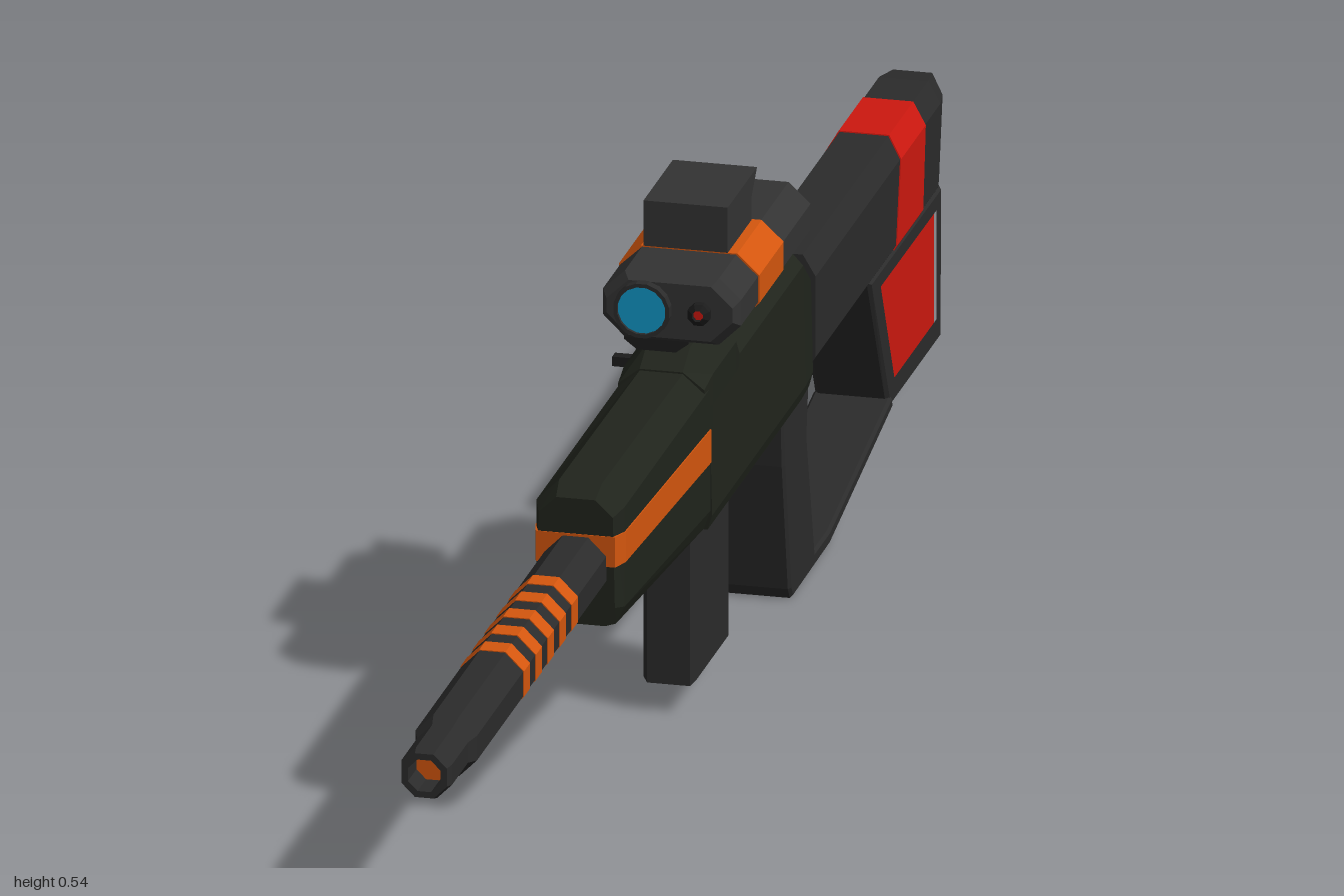
import * as THREE from 'three';

const mat = (color) => new THREE.MeshStandardMaterial({ color, flatShading: true, roughness: 0.8 });
const DARK = mat(0x2b2b2b), BLACK = mat(0x1c1c1c), GREEN = mat(0x20241c), SCOPE = mat(0x333333);
const ORANGE = mat(0xd4560e), RED = mat(0xcc180f), BLUE = mat(0x1297c8);

// Ring of points, mirrored from the +x half (listed top to bottom), placed at z
const ring = (half, z, skew = 0) => [
  ...[...half].reverse(),
  ...half.map(([x, y]) => [-x, y]),
].map(([x, y]) => new THREE.Vector3(x, y, z + skew * y));

// Closed solid through rings ordered from front to back
function loft(...rings) {
  const pos = [];
  const tri = (...v) => v.forEach((p) => pos.push(p.x, p.y, p.z));
  const mid = (r) => r.reduce((s, p) => s.add(p), new THREE.Vector3()).divideScalar(r.length);
  const first = rings[0], last = rings[rings.length - 1], n = first.length;
  const cf = mid(first), cb = mid(last);
  for (let i = 0; i < n; i++) {
    const j = (i + 1) % n;
    for (let k = 0; k < rings.length - 1; k++) {
      const a = rings[k], b = rings[k + 1];
      tri(a[i], b[i], a[j]);
      tri(b[i], b[j], a[j]);
    }
    tri(cf, first[i], first[j]);
    tri(cb, last[j], last[i]);
  }
  const g = new THREE.BufferGeometry();
  g.setAttribute('position', new THREE.Float32BufferAttribute(pos, 3));
  g.computeVertexNormals();
  return g;
}

// Side profile of [z, y] points, extruded across x with a chamfer
function slab(points, halfWidth, bevel = 0, hole = null) {
  const toV = (l) => l.map(([z, y]) => new THREE.Vector2(z, y));
  const shape = new THREE.Shape(toV(points));
  if (hole) shape.holes.push(new THREE.Path(toV(hole)));
  const depth = 2 * (halfWidth - bevel);
  const g = new THREE.ExtrudeGeometry(shape, {
    depth, bevelEnabled: bevel > 0, bevelSize: bevel, bevelThickness: bevel,
    bevelOffset: -bevel, bevelSegments: 1,
  });
  return g.translate(0, 0, -depth / 2).rotateY(-Math.PI / 2);
}

// Turned part along z from [radius, z] points running back to front
const turned = (points, sides) => new THREE.LatheGeometry(
  points.map(([r, z]) => new THREE.Vector2(r, z)), sides, Math.PI / sides).rotateX(Math.PI / 2);

export function createModel() {
  const model = new THREE.Group();
  const add = (name, geometry, material, x = 0, y = 0, z = 0) => {
    const m = new THREE.Mesh(geometry, material);
    m.name = name;
    m.position.set(x, y, z);
    model.add(m);
    return m;
  };
  const box = (name, w, h, d, material, x, y, z) =>
    add(name, new THREE.BoxGeometry(w, h, d), material, x, y, z);

  // Barrel with muzzle and stripes
  const barrelY = 0.291;
  add('barrel', turned([[0.034, 0.3], [0.034, 0.91], [0.028, 0.925], [0.028, 0.99], [0.025, 1],
    [0.018, 1], [0.018, 0.96]], 8), DARK, 0, barrelY);
  add('muzzleBore', new THREE.CircleGeometry(0.018, 8, Math.PI / 8), ORANGE, 0, barrelY, 0.965);
  for (let i = 0; i < 5; i++) {
    const z = 0.5 + i * 0.049;
    add('barrelStripe', turned([[0.03, z], [0.035, z], [0.035, z + 0.025], [0.03, z + 0.025]], 8),
      ORANGE, 0, barrelY);
  }

  // Handguard and its tapering side stripes
  add('handguard', loft(
    ring([[0.02, 0.362], [0.038, 0.345], [0.04, 0.25], [0.03, 0.23]], 0.38),
    ring([[0.022, 0.373], [0.045, 0.35], [0.045, 0.245], [0.036, 0.226]], 0.36),
    ring([[0.022, 0.37], [0.045, 0.35], [0.045, 0.22], [0.038, 0.2]], 0),
  ), GREEN);
  add('handguardStripe', loft(
    ring([[0.0405, 0.325], [0.0405, 0.293]], 0.381),
    ring([[0.0462, 0.324], [0.0462, 0.292]], 0.36),
    ring([[0.0462, 0.307], [0.0462, 0.272]], 0.01),
  ), ORANGE);

  // Receiver
  const body = [[0.022, 0.366], [0.044, 0.342], [0.0465, 0.215], [0.042, 0.2]];
  add('receiver', loft(
    ring(body, 0.008),
    ring(body, -0.375),
    ring([[0.022, 0.325], [0.042, 0.312], [0.044, 0.215], [0.04, 0.2]], -0.415),
  ), GREEN);
  add('receiverRise', loft(
    ring([[0.022, 0.372], [0.044, 0.355], [0.044, 0.33]], 0.03),
    ring([[0.022, 0.388], [0.0455, 0.362], [0.0455, 0.33]], 0),
    ring([[0.022, 0.388], [0.0455, 0.362], [0.0455, 0.33]], -0.095),
    ring([[0.022, 0.366], [0.044, 0.342], [0.044, 0.33]], -0.115),
  ), GREEN);
  box('boltSlot', 0.004, 0.026, 0.2, BLACK, -0.0455, 0.312, -0.18);
  box('boltHandle', 0.05, 0.01, 0.012, BLACK, -0.066, 0.315, -0.14);

  // Magazine, trigger and guard
  add('magazine', slab([[0, 0.21], [0, 0.03], [-0.142, 0.03], [-0.142, 0.21]], 0.027, 0.005), DARK);
  add('triggerGuard', slab([[-0.153, 0.21], [-0.153, 0.154], [-0.31, 0.154], [-0.32, 0.21]], 0.012, 0,
    [[-0.158, 0.205], [-0.158, 0.159], [-0.306, 0.159], [-0.315, 0.205]]), BLACK);
  add('trigger', slab([[-0.265, 0.21], [-0.27, 0.185], [-0.262, 0.16], [-0.298, 0.16], [-0.303, 0.21]],
    0.008), RED);

  // Grip running into the lower strap
  add('grip', slab([[-0.31, 0.205], [-0.315, 0.15], [-0.34, 0.012], [-0.348, 0], [-0.5, 0.002], [-0.76, 0.055],
    [-0.757, 0.068], [-0.5, 0.017], [-0.44, 0.017], [-0.407, 0.15], [-0.415, 0.205]], 0.04, 0.003), DARK);

  // Stock with a framed lower panel and a wrapped band
  box('stockNeck', 0.05, 0.07, 0.07, BLACK, 0, 0.255, -0.43);
  const butt = [[0.025, 0.325], [0.038, 0.303], [0.038, 0.218], [0.033, 0.21]];
  add('stock', loft(
    ring(butt, -0.45),
    ring(butt, -0.93, -0.1),
    ring([[0.02, 0.32], [0.032, 0.3], [0.034, 0.218], [0.03, 0.21]], -0.91, -0.28),
  ), DARK);
  add('stockFrame', slab([[-0.675, 0.215], [-0.755, 0.055], [-0.965, 0.055], [-0.968, 0.215]], 0.038, 0.004,
    [[-0.712, 0.2], [-0.77, 0.077], [-0.948, 0.077], [-0.948, 0.2]]), DARK);
  add('stockPanel', slab([[-0.7, 0.21], [-0.76, 0.07], [-0.955, 0.07], [-0.955, 0.21]], 0.033), RED);
  const band = [[0.0257, 0.3262], [0.0392, 0.3035], [0.0392, 0.218], [0.034, 0.209]];
  add('stockBand', loft(ring(band, -0.735, -0.2), ring(band, -0.86, -0.12)), RED);

  // Scope mount
  add('mountNeck', slab([[0, 0.38], [0, 0.405], [-0.1, 0.405], [-0.1, 0.38]], 0.016), BLACK);
  add('mountRail', loft(...[0.05, -0.22].map((z) =>
    ring([[0.033, 0.42], [0.033, 0.41], [0.02, 0.4]], z))), BLACK);

  // Scope housing
  const sx = 0.0185;
  const hull = (g) => [[0.048 + g, 0.486 + g], [0.0705 + g, 0.465 + g], [0.0705 + g, 0.438 - g], [0.048 + g, 0.416 - g]];
  add('scopeBody', loft(ring(hull(-0.006), 0.07), ring(hull(0), 0.06),
    ring(hull(0), -0.225), ring(hull(-0.006), -0.24)), SCOPE, sx);
  add('scopeBand', loft(ring(hull(0.0012), -0.01), ring(hull(0.0012), -0.11)), ORANGE, sx);

  // Scope lenses and aiming emitter
  const lx = -0.008, ly = 0.452;
  add('frontLensRing', turned([[0.029, 0.06], [0.029, 0.08], [0.025, 0.08], [0.025, 0.065]], 16), DARK, lx, ly);
  add('frontLens', new THREE.CircleGeometry(0.026, 16), BLUE, lx, ly, 0.076);
  add('eyepiece', turned([[0.024, -0.262], [0.024, -0.27], [0.03, -0.27], [0.03, -0.256],
    [0.026, -0.25], [0.026, -0.23]], 16), DARK, lx, ly);
  add('rearLens', new THREE.CircleGeometry(0.025, 16), BLUE, lx, ly, -0.265).rotation.y = Math.PI;
  add('emitter', turned([[0.012, 0.06], [0.012, 0.078], [0.006, 0.082], [0.005, 0.075]], 8), BLACK, 0.05, ly);
  add('emitterTip', new THREE.CircleGeometry(0.006, 8), RED, 0.05, ly, 0.078);

  // Hooded sight display on top
  add('sightHood', slab([[-0.01, 0.48], [-0.01, 0.535], [-0.13, 0.535], [-0.108, 0.512], [-0.108, 0.48]], 0.043),
    SCOPE, 0.015);
  box('sightScreen', 0.07, 0.021, 0.004, BLUE, 0.015, 0.501, -0.109);

  return model;
}
